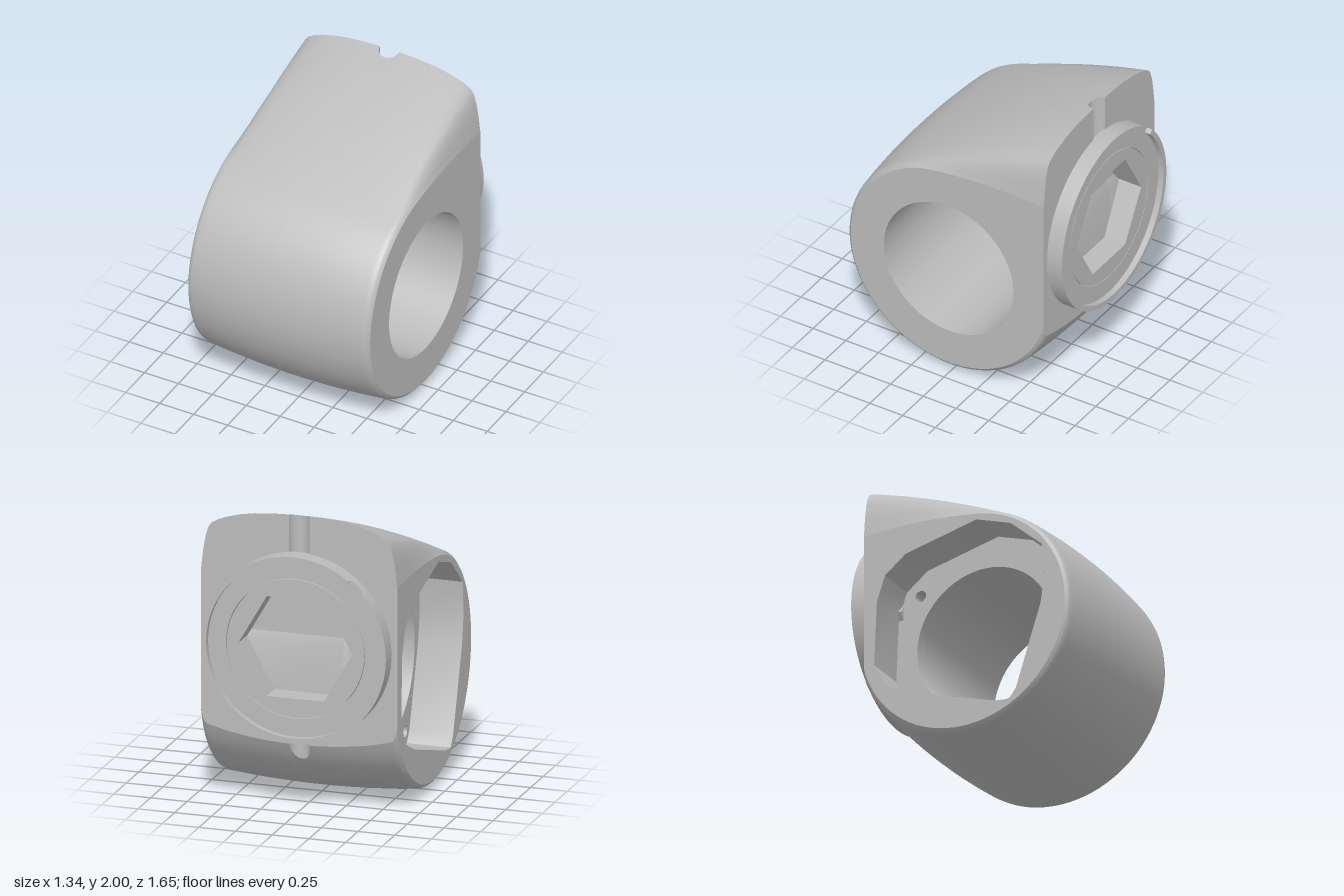
import * as THREE from 'three';
import { toCreasedNormals } from 'three/addons/utils/BufferGeometryUtils.js';

const AXIS_Z = 0.015, AXIS_Y = 0.81, RADIUS = 0.81, BACK = -0.71;
const CAP_Y = 1.12, BORE = 0.495, GROOVE = 0.07, POCKET_X = -0.37;

export function createModel() {
  const group = new THREE.Group();
  const grey = new THREE.MeshStandardMaterial({ color: 0xbbbbbb });
  grey.name = 'grey';

  function add(name, geometry, parent = group) {
    const mesh = new THREE.Mesh(toCreasedNormals(geometry, 0.5), grey);
    mesh.name = name;
    parent.add(mesh);
    return mesh;
  }
  function extrude(shape, depth) {
    return new THREE.ExtrudeGeometry(shape, { depth, bevelEnabled: false, curveSegments: 48 });
  }
  function circlePath(x, y, r) {
    return new THREE.Path().absarc(x, y, r, 0, Math.PI * 2, true);
  }
  // surface from rows of points, rows running along +x
  function loft(rows) {
    const n = rows[0].length, pos = rows.flat(2), index = [];
    for (let i = 0; i < rows.length - 1; i++) {
      for (let j = 0; j < n - 1; j++) {
        const a = i * n + j, b = a + n;
        index.push(a, b, a + 1, b, b + 1, a + 1);
      }
    }
    const g = new THREE.BufferGeometry();
    g.setAttribute('position', new THREE.Float32BufferAttribute(pos, 3));
    g.setIndex(index);
    g.computeVertexNormals();
    return g;
  }

  // teardrop outline as [z, y]: underside, front, then a slightly bowed slope up to the back edge
  function outline(x, inset, drop) {
    const r = RADIUS - inset;
    const back = BACK + Math.sqrt(Math.max(0, GROOVE ** 2 - x * x));
    const pz = BACK - AXIS_Z, py = 2 - drop - AXIS_Y;
    const end = Math.atan2(py, pz) - Math.acos(r / Math.hypot(pz, py)) - 0.12;
    const start = -Math.acos((back - AXIS_Z) / r);
    const points = [];
    for (let i = 0; i <= 56; i++) {
      const a = start + (end - start) * i / 56;
      points.push([AXIS_Z + r * Math.cos(a), AXIS_Y + r * Math.sin(a)]);
    }
    const [tz, ty] = points[56];
    const reach = 0.5 * Math.hypot(BACK - tz, 2 - drop - ty);
    const slope = new THREE.QuadraticBezierCurve(
      new THREE.Vector2(tz, ty),
      new THREE.Vector2(tz - Math.sin(end) * reach, ty + Math.cos(end) * reach),
      new THREE.Vector2(BACK, 2 - drop));
    const last = 1 - (back - BACK) / (2 * (slope.v1.x - BACK));
    for (let i = 1; i <= 14; i++) {
      const p = slope.getPoint(last * i / 14);
      points.push([i === 14 ? back : p.x, p.y]);
    }
    return points;
  }

  // stations across the width: x, inset of the round, drop of the top edge
  const half = [
    [0.027, 0, 0], [0.05, 0, 0], [0.064, 0, 0], [0.07, 0, 0], [0.2, 0.003, 0.006],
    [0.3, 0.007, 0.015], [0.4, 0.013, 0.032], [0.5, 0.02, 0.06], [0.55, 0.025, 0.08],
    [0.6, 0.03, 0.11], [0.62, 0.032, 0.14], [0.64, 0.036, 0.21], [0.655, 0.044, 0.3], [0.67, 0.063, 0.43],
  ];
  const stations = [...half.map(([x, i, d]) => [-x, i, d]).reverse(), [0, 0, 0], ...half];
  const sections = stations.map((s) => ({ x: s[0], pts: outline(...s) }));
  add('bodyShell', loft(sections.map(({ x, pts }) => pts.map(([z, y]) => [x, y, z]))));

  // back face with its vertical groove, left open behind the cap
  const opening = (x) => Math.sqrt(Math.max(0, 0.55 ** 2 - x * x));
  add('backFaceUpper', loft(sections.map(({ x, pts }) => {
    const [z, y] = pts[pts.length - 1];
    return [[x, y, z], [x, CAP_Y + opening(x), z]];
  })));
  add('backFaceLower', loft(sections.map(({ x, pts }) => {
    const [z, y] = pts[0];
    return [[x, CAP_Y - opening(x), z], [x, y, z]];
  })));

  // pocket outline, a skewed rounded square around the bore
  function pocket(Type, scale = 1) {
    const corners = [
      [0.57, 0], [0.6, 0.2], [0.58, 0.42], [0.35, 0.62], [0.1, 0.7], [-0.42, 0.57], [-0.57, 0.45],
      [-0.63, 0.28], [-0.65, -0.17], [-0.56, -0.34], [-0.38, -0.43], [0.24, -0.62], [0.34, -0.63], [0.39, -0.56],
    ];
    return new Type(corners.map(([z, y]) => new THREE.Vector2(AXIS_Z + z * scale, AXIS_Y + y * scale)));
  }

  // flat sides: round bore on one, pocket on the other
  const rim = sections[sections.length - 1].pts;
  const boreSide = new THREE.Shape(rim.map(([z, y]) => new THREE.Vector2(-z, y)));
  boreSide.holes.push(circlePath(-AXIS_Z, AXIS_Y, BORE));
  add('boreSide', new THREE.ShapeGeometry(boreSide, 48).rotateY(Math.PI / 2).translate(0.67, 0, 0));
  const pocketSide = new THREE.Shape(rim.map(([z, y]) => new THREE.Vector2(z, y)));
  pocketSide.holes.push(pocket(THREE.Path));
  add('pocketSide', new THREE.ShapeGeometry(pocketSide).rotateY(-Math.PI / 2).translate(-0.67, 0, 0));

  // inner blocks, placed by the x of their pocket-side face
  function inner(name, shape, xFrom, xTo) {
    add(name, extrude(shape, xTo - xFrom).rotateY(-Math.PI / 2).translate(xTo, 0, 0));
  }
  const wall = pocket(THREE.Shape, 1.008);
  wall.holes.push(pocket(THREE.Path));
  inner('pocketWall', wall, -0.669, POCKET_X);

  const floor = pocket(THREE.Shape, 1.004);
  floor.holes.push(circlePath(AXIS_Z, AXIS_Y, BORE));
  for (const [z, y] of [[0.47, 0.38], [0.31, -0.54], [-0.47, 0.4]]) {
    floor.holes.push(circlePath(AXIS_Z + z, AXIS_Y + y, 0.04));
  }
  inner('pocketFloor', floor, POCKET_X, POCKET_X + 0.1);

  const sleeve = pocket(THREE.Shape);
  sleeve.holes.push(circlePath(AXIS_Z, AXIS_Y, BORE));
  inner('boreSleeve', sleeve, POCKET_X + 0.1, 0.669);

  // round cap on the back; local +z points out of the back
  const cap = new THREE.Group();
  cap.name = 'cap';
  cap.rotation.y = Math.PI;
  cap.position.set(0, CAP_Y, 0);
  group.add(cap);
  function capPart(name, shape, from, to) {
    add(name, extrude(shape, to - from).translate(0, 0, from), cap);
  }
  const disc = (r) => new THREE.Shape().absarc(0, 0, r, 0, Math.PI * 2, false);

  const plate = disc(0.63);
  plate.holes.push(circlePath(0, 0, 0.473));
  capPart('capPlate', plate, 0.7, 0.785);

  // raised lip with one notch
  const notch = Math.atan2(0.47, 0.42), gap = 0.085;
  const lip = new THREE.Shape();
  lip.absarc(0, 0, 0.63, notch + gap, notch - gap + Math.PI * 2, false);
  lip.absarc(0, 0, 0.595, notch - gap + Math.PI * 2, notch + gap, true);
  lip.closePath();
  capPart('capLip', lip, 0.785, 0.825);

  // inner disc with a deep hexagonal recess
  function hexagon(Type, r) {
    const corners = [0, 1, 2, 3, 4, 5].map((i) => i * Math.PI / 3);
    return new Type(corners.map((a) => new THREE.Vector2(r * Math.cos(a), r * Math.sin(a))));
  }
  function withHex(shape) {
    shape.holes.push(hexagon(THREE.Path, 0.39));
    return shape;
  }
  capPart('hexHub', withHex(disc(0.468)), 0.7, 0.785);
  capPart('hubSeat', withHex(disc(0.5)), 0.69, 0.7);
  capPart('hexWell', withHex(hexagon(THREE.Shape, 0.4)), 0.59, 0.69);
  capPart('hexFloor', hexagon(THREE.Shape, 0.4), 0.58, 0.59);

  return group;
}
